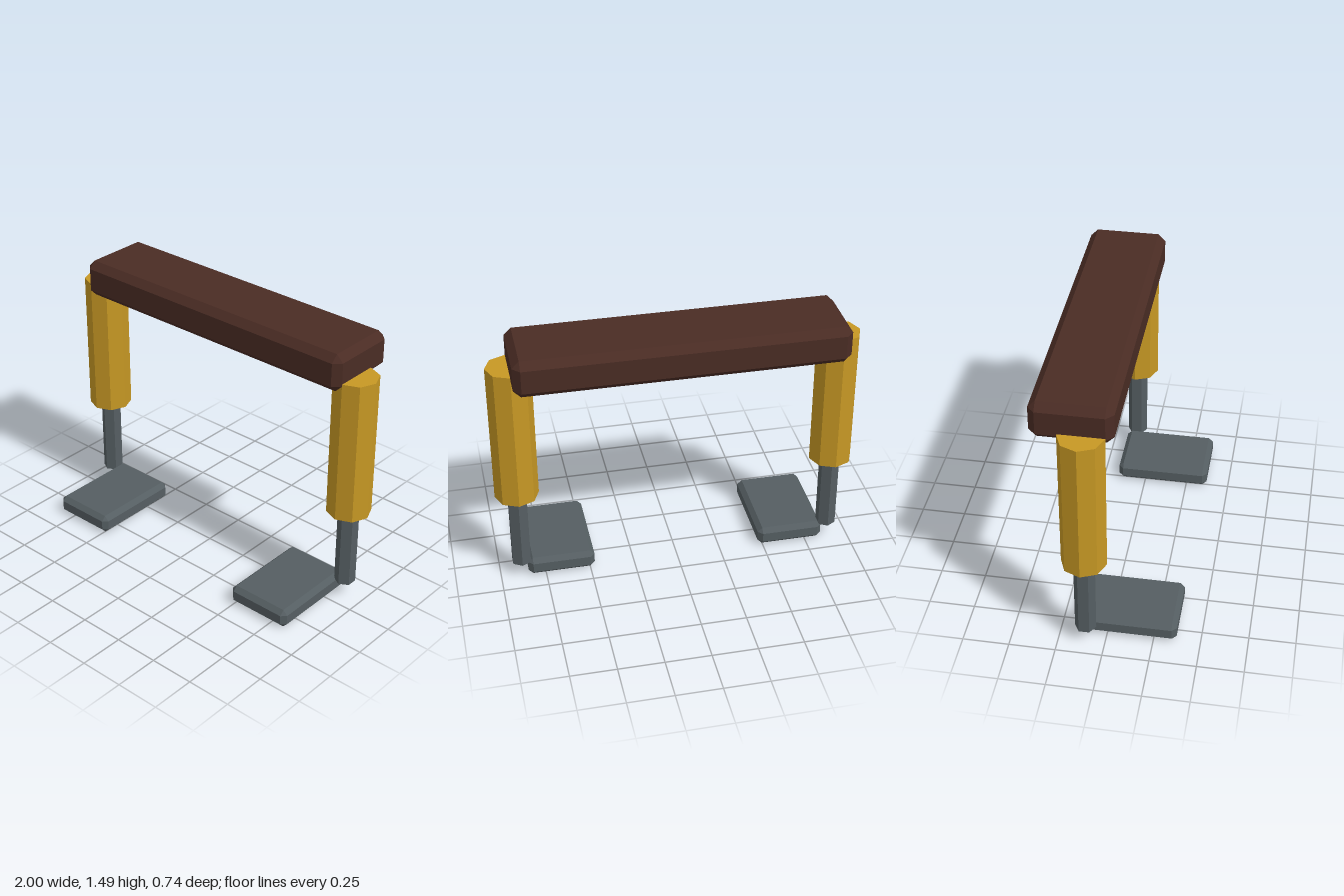
import * as THREE from 'three';
import { ConvexGeometry } from 'three/addons/geometries/ConvexGeometry.js';

// Box with every edge cut by a single 45 degree bevel, given by its limits
function bevelledBox([x0, x1], [y0, y1], [z0, z1], bevel) {
  const half = [(x1 - x0) / 2, (y1 - y0) / 2, (z1 - z0) / 2];
  const points = [];
  for (const sx of [-1, 1]) for (const sy of [-1, 1]) for (const sz of [-1, 1]) {
    for (let axis = 0; axis < 3; axis++) {
      const [hx, hy, hz] = half.map((h, i) => (i === axis ? h : h - bevel));
      points.push(new THREE.Vector3(sx * hx, sy * hy, sz * hz));
    }
  }
  return new ConvexGeometry(points).translate((x0 + x1) / 2, (y0 + y1) / 2, (z0 + z1) / 2);
}

// Upright faceted post between two heights
function post(radius, sides, bottom, top, x, z) {
  return new THREE.CylinderGeometry(radius, radius, top - bottom, sides)
    .toNonIndexed()
    .translate(x, (bottom + top) / 2, z);
}

export function createModel() {
  const material = (name, color) => {
    const m = new THREE.MeshStandardMaterial({ color, flatShading: true });
    m.name = name;
    return m;
  };
  const brown = material('dark brown', 0x4a2c24);
  const gold = material('golden yellow', 0xc79824);
  const grey = material('slate grey', 0x555e62);

  const group = new THREE.Group();
  group.name = 'frame';
  const add = (name, geometry, mat) => {
    geometry.computeVertexNormals();
    const mesh = new THREE.Mesh(geometry, mat);
    mesh.name = name;
    group.add(mesh);
  };

  // Crossbeam
  add('crossbeam', bevelledBox([-0.88, 0.88], [1.287, 1.494], [-0.372, 0.052], 0.039), brown);

  // Legs and feet, mirrored
  for (const [side, s] of [['left', 1], ['right', -1]]) {
    add(side + 'UpperLeg', post(0.12, 8, 0.537, 1.338, s * 0.88, -0.107), gold);
    add(side + 'LowerLeg', post(0.057, 6, 0.085, 0.56, s * 0.88, -0.107), grey);
    const footX = [s * 0.473, s * 0.846].sort((a, b) => a - b);
    add(side + 'Foot', bevelledBox(footX, [0, 0.107], [-0.159, 0.372], 0.026), grey);
  }
  return group;
}
